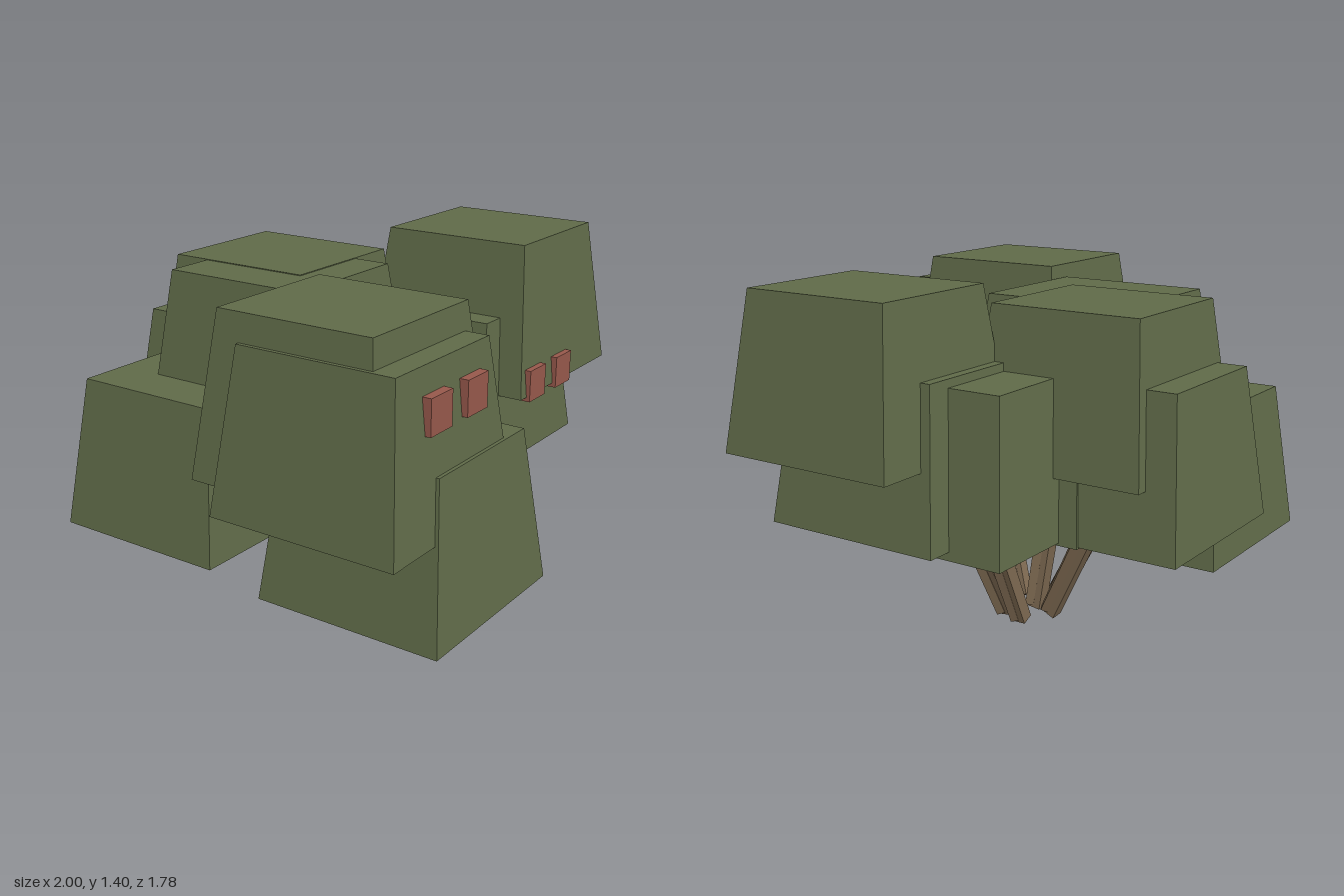
import * as THREE from 'three';

const leafGreen = new THREE.MeshStandardMaterial({ color: 0x5f6a48 });
leafGreen.name = 'leafGreen';
const berryRed = new THREE.MeshStandardMaterial({ color: 0x96584b });
berryRed.name = 'berryRed';
const barkBrown = new THREE.MeshStandardMaterial({ color: 0x7d6951 });
barkBrown.name = 'barkBrown';

const HEIGHT = 0.575;

// Box standing on y = 0 whose top is scaled in x and z
function taperedBox(w, h, d, topX, topZ) {
  const g = new THREE.BoxGeometry(w, h, d).translate(0, h / 2, 0);
  const p = g.attributes.position;
  for (let i = 0; i < p.count; i++) {
    if (p.getY(i) > h / 2) p.setXYZ(i, p.getX(i) * topX, p.getY(i), p.getZ(i) * topZ);
  }
  g.computeVertexNormals();
  return g;
}

// Square bar with a thinner ridge beside it, running between two points
function makeStem(from, to, width) {
  const a = new THREE.Vector3(...from);
  const dir = new THREE.Vector3(...to).sub(a);
  const length = dir.length();
  const stem = new THREE.Group();
  stem.name = 'stem';
  const bar = new THREE.Mesh(taperedBox(width, length, width, 1.1, 1.1), barkBrown);
  bar.name = 'stemBar';
  const ridge = new THREE.Mesh(taperedBox(width * 0.6, length * 0.98, width * 0.6, 1.2, 1.2), barkBrown);
  ridge.name = 'stemRidge';
  ridge.position.set(width * 0.45, length * 0.02, width * 0.4);
  ridge.rotation.y = 0.5;
  stem.add(bar, ridge);
  stem.position.copy(a);
  stem.quaternion.setFromUnitVectors(new THREE.Vector3(0, 1, 0), dir.normalize());
  return stem;
}

export function createModel() {
  const model = new THREE.Group();
  model.name = 'berryBush';

  // Leaf blocks: x, base y, z, has berries
  const blocks = [
    [0.64, 0.82, 0.205, false],
    [0.495, 0.54, 0.137, true],
    [0.4, 0.51, -0.075, false],
    [0.04, 0.5, -0.15, true],
    [0.04, 0.743, -0.39, true],
    [-0.155, 0.74, -0.24, false],
    [0.03, 0.505, -0.53, false],
    [-0.41, 0.34, -0.463, true],
    [-0.465, 0.333, 0.527, false],
    [-0.64, 0.693, 0.477, false],
    [-0.61, 0.79, 0.378, true],
  ];
  const leafGeometry = taperedBox(0.72, HEIGHT, 0.72, 0.755, 0.835);
  const berryGeometry = new THREE.BoxGeometry(0.124, 0.124, 0.124);

  for (const [x, y, z, hasBerries] of blocks) {
    const clump = new THREE.Group();
    clump.name = 'leafClump';
    clump.position.set(x, y, z);
    const leaves = new THREE.Mesh(leafGeometry, leafGreen);
    leaves.name = 'leafBlock';
    clump.add(leaves);
    // Pair of berries set into the front face
    if (hasBerries) {
      for (const side of [-1, 1]) {
        const berry = new THREE.Mesh(berryGeometry, berryRed);
        berry.name = 'berry';
        berry.position.set(side * 0.108, 0.325, 0.38);
        clump.add(berry);
      }
    }
    model.add(clump);
  }

  // Stems fanning out from the ground into the clumps
  const stems = [
    [[-0.17, 0.02, 0.1], [-0.34, 0.4, 0.36], 0.055],
    [[-0.14, 0.02, 0.07], [-0.25, 0.4, 0.24], 0.045],
    [[-0.17, 0.02, -0.06], [-0.31, 0.4, -0.21], 0.055],
    [[-0.08, 0.015, -0.03], [-0.11, 0.55, -0.1], 0.055],
    [[-0.05, 0.02, -0.12], [0.0, 0.55, -0.39], 0.055],
    [[0.03, 0.02, 0.03], [0.27, 0.58, 0.11], 0.055],
    [[0.07, 0.02, -0.06], [0.33, 0.58, -0.06], 0.05],
  ];
  for (const [from, to, width] of stems) model.add(makeStem(from, to, width));

  return model;
}
